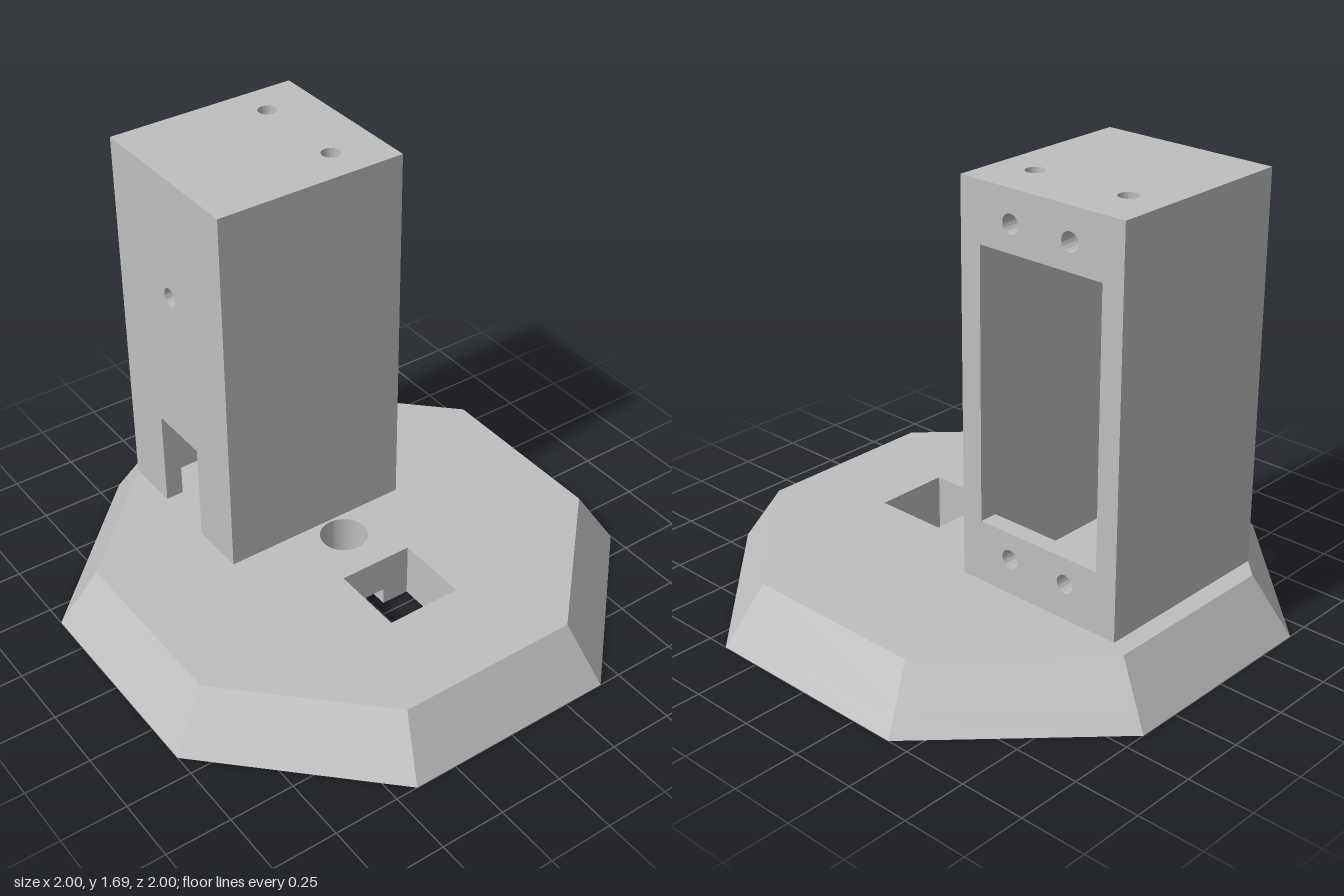
import * as THREE from 'three';
import { toCreasedNormals } from 'three/addons/utils/BufferGeometryUtils.js';

const grey = new THREE.MeshStandardMaterial({ color: 0xbfbfbf });
grey.name = 'plain grey';

const polygon = (points, Kind = THREE.Shape) =>
  new Kind(points.map(([x, y]) => new THREE.Vector2(x, y)));
const rect = (x0, y0, x1, y1) => polygon([[x0, y0], [x1, y0], [x1, y1], [x0, y1]], THREE.Path);
const hole = (x, y, r) => new THREE.Path().absarc(x, y, r, 0, Math.PI * 2, true);

function plate(name, shape, depth) {
  const geometry = new THREE.ExtrudeGeometry(shape, { depth, bevelEnabled: false, curveSegments: 32 });
  const mesh = new THREE.Mesh(geometry, grey);
  mesh.name = name;
  return mesh;
}

// Base: tapered octagon in two layers, so the cable groove opens only below
const BASE_H = 0.22;
const GROOVE_H = 0.07;
function baseLayer(name, y0, y1, holes) {
  const c = Math.SQRT2 - 1;
  const shape = polygon([[1, -c], [1, c], [c, 1], [-c, 1], [-1, c], [-1, -c], [-c, -1], [c, -1]]);
  shape.holes.push(...holes);
  const mesh = plate(name, shape, y1 - y0);
  const geometry = mesh.geometry.rotateX(-Math.PI / 2).translate(0, y0, 0);
  const p = geometry.attributes.position;
  // Draw the rim inwards with height
  for (let i = 0; i < p.count; i++) {
    if (Math.hypot(p.getX(i), p.getZ(i)) < 0.9) continue;
    const k = 1 - 0.138 * p.getY(i) / BASE_H;
    p.setXYZ(i, p.getX(i) * k, p.getY(i), p.getZ(i) * k);
  }
  mesh.geometry = toCreasedNormals(geometry, 0.4);
  return mesh;
}

export function createModel() {
  const model = new THREE.Group();
  model.name = 'stand';

  const base = new THREE.Group();
  base.name = 'base';
  const R = 0.09, w = 0.04, a = Math.asin(w / R);
  // Round hole, groove and square pocket joined into one outline
  const joined = new THREE.Path();
  joined.absarc(0, 0, R, a, Math.PI * 2 - a, false);
  for (const [x, y] of [[0.2, -w], [0.2, -0.145], [0.49, -0.145], [0.49, 0.15], [0.2, 0.15], [0.2, w]]) joined.lineTo(x, y);
  joined.closePath();
  base.add(
    baseLayer('lowerBase', 0, GROOVE_H, [joined]),
    baseLayer('upperBase', GROOVE_H, BASE_H, [hole(0, 0, R), rect(0.2, -0.145, 0.49, 0.15)])
  );
  model.add(base);

  // Tower: hollow box, open at the back
  const tower = new THREE.Group();
  tower.name = 'tower';
  const L = -0.79, Rt = -0.1, zB = -0.32, zF = 0.43, top = 1.69;
  const side = 0.085, wall = 0.07, lid = 0.06, mid = (L + Rt) / 2;
  const roofY = top - lid;

  // Front wall with notch and peephole
  const front = polygon([[L, BASE_H], [-0.57, BASE_H], [-0.57, 0.61], [-0.32, 0.61], [-0.32, BASE_H],
    [Rt, BASE_H], [Rt, roofY], [L, roofY]]);
  front.holes.push(hole(mid, 1.21, 0.035));
  const frontWall = plate('frontWall', front, wall);
  frontWall.position.z = zF - wall;

  // Back frame with window and four screw holes
  const back = polygon([[L, BASE_H], [Rt, BASE_H], [Rt, roofY], [L, roofY]]);
  back.holes.push(rect(L + side, 0.455, Rt - side, 1.47));
  for (const x of [-0.57, -0.32]) for (const y of [0.355, 1.57]) back.holes.push(hole(x, y, 0.035));
  const backFrame = plate('backFrame', back, wall);
  backFrame.position.z = zB;

  // Roof with two holes
  const roof = polygon([[L, -zF], [Rt, -zF], [Rt, -zB], [L, -zB]]);
  for (const x of [-0.64, -0.25]) roof.holes.push(hole(x, 0.125, 0.035));
  const roofPlate = plate('roof', roof, lid);
  roofPlate.rotation.x = -Math.PI / 2;
  roofPlate.position.y = roofY;
  tower.add(frontWall, backFrame, roofPlate);
  for (const m of [frontWall, backFrame, roofPlate]) m.geometry = toCreasedNormals(m.geometry, 0.4);

  // Side walls
  for (const [name, x] of [['rightWall', L + side / 2], ['leftWall', Rt - side / 2]]) {
    const mesh = new THREE.Mesh(new THREE.BoxGeometry(side, roofY - BASE_H, zF - zB - 2 * wall), grey);
    mesh.name = name;
    mesh.position.set(x, (roofY + BASE_H) / 2, (zF + zB) / 2);
    tower.add(mesh);
  }
  model.add(tower);
  return model;
}
